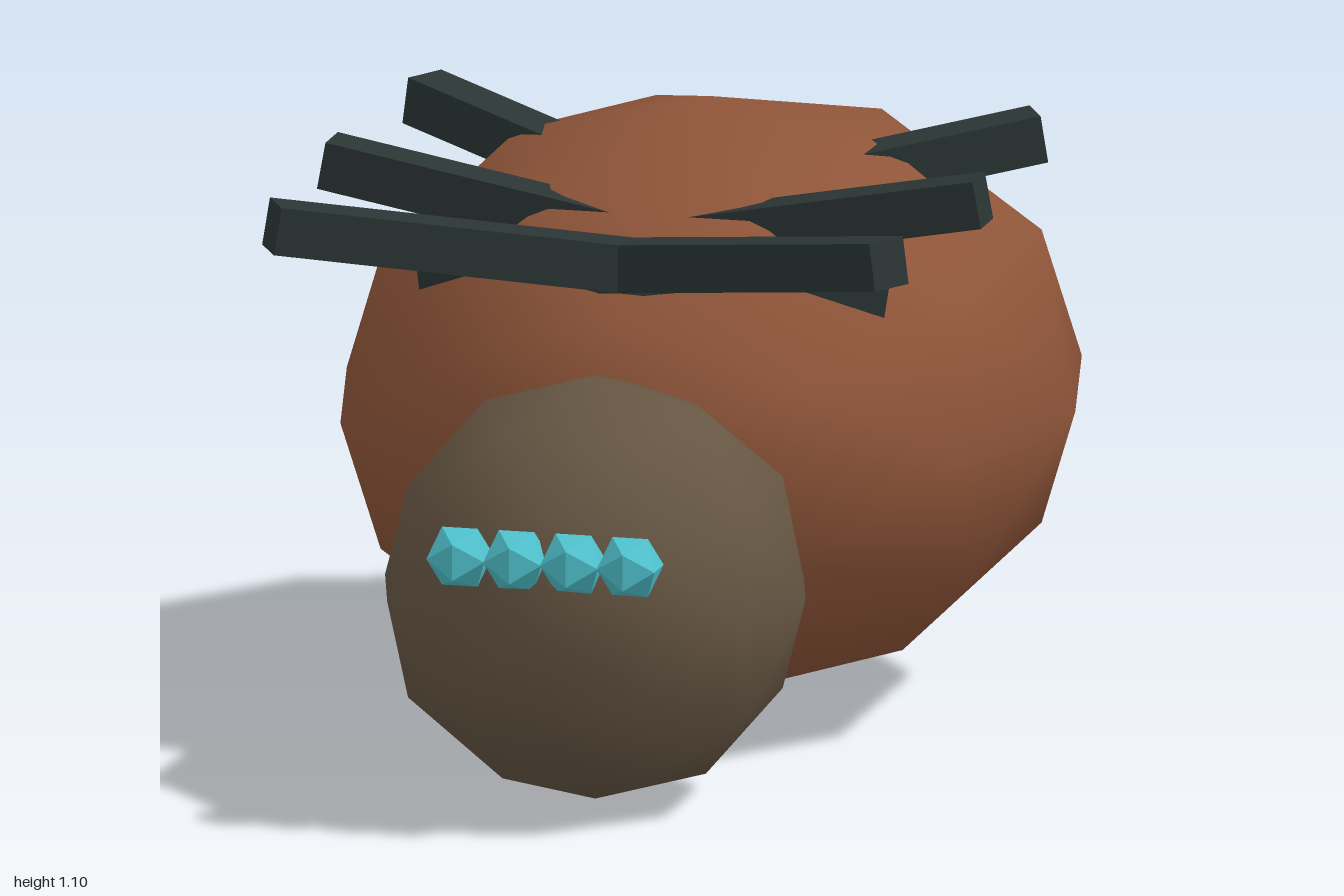
import * as THREE from 'three';

const mat = (name, color, flatShading = false) => {
  const m = new THREE.MeshStandardMaterial({ color, flatShading });
  m.name = name;
  return m;
};

export function createModel() {
  const model = new THREE.Group();
  const rust = mat('rust brown', 0x8f5539);
  const taupe = mat('taupe', 0x665643);
  const slate = mat('dark slate', 0x2a3534);
  const cyan = mat('cyan', 0x50c4d0);

  const add = (name, geometry, material, x, y, z) => {
    const mesh = new THREE.Mesh(geometry, material);
    mesh.name = name;
    mesh.position.set(x, y, z);
    model.add(mesh);
    return mesh;
  };

  // Body: smooth low-poly ellipsoid and round head
  const abdomen = add('abdomen', new THREE.IcosahedronGeometry(1, 1), rust, 0, 0.567, -0.2);
  abdomen.scale.set(0.667, 0.533, 0.8);
  add('head', new THREE.IcosahedronGeometry(0.385, 1), taupe, 0, 0.39, 0.6);

  // Row of four faceted eyes
  const eyeGeometry = new THREE.IcosahedronGeometry(0.062, 0);
  for (let i = 0; i < 4; i++) {
    add('eye', eyeGeometry, cyan, (i - 1.5) * 0.104, 0.515, 0.948);
  }

  // Square legs, each from an inner point to an outer tip, mirrored
  const legs = [
    ['frontLeg', [-0.41, 0.85, 0.17], [0.565, 1.035, 0.703]],
    ['middleLeg', [0, 0.925, 0.187], [0.6, 1.035, 0.187]],
    ['backLeg', [0.05, 0.94, -0.06], [0.565, 1.035, -0.333]],
  ];
  for (const side of [1, -1]) {
    for (const [name, inner, outer] of legs) {
      const a = new THREE.Vector3(...inner);
      const b = new THREE.Vector3(...outer);
      a.x *= side;
      b.x *= side;
      const d = b.clone().sub(a);
      const c = a.clone().add(b).multiplyScalar(0.5);
      const leg = add(name, new THREE.BoxGeometry(d.length(), 0.086, 0.086), slate, c.x, c.y, c.z);
      leg.rotation.set(0, Math.atan2(-d.z, d.x), Math.atan2(d.y, Math.hypot(d.x, d.z)));
    }
  }
  return model;
}
